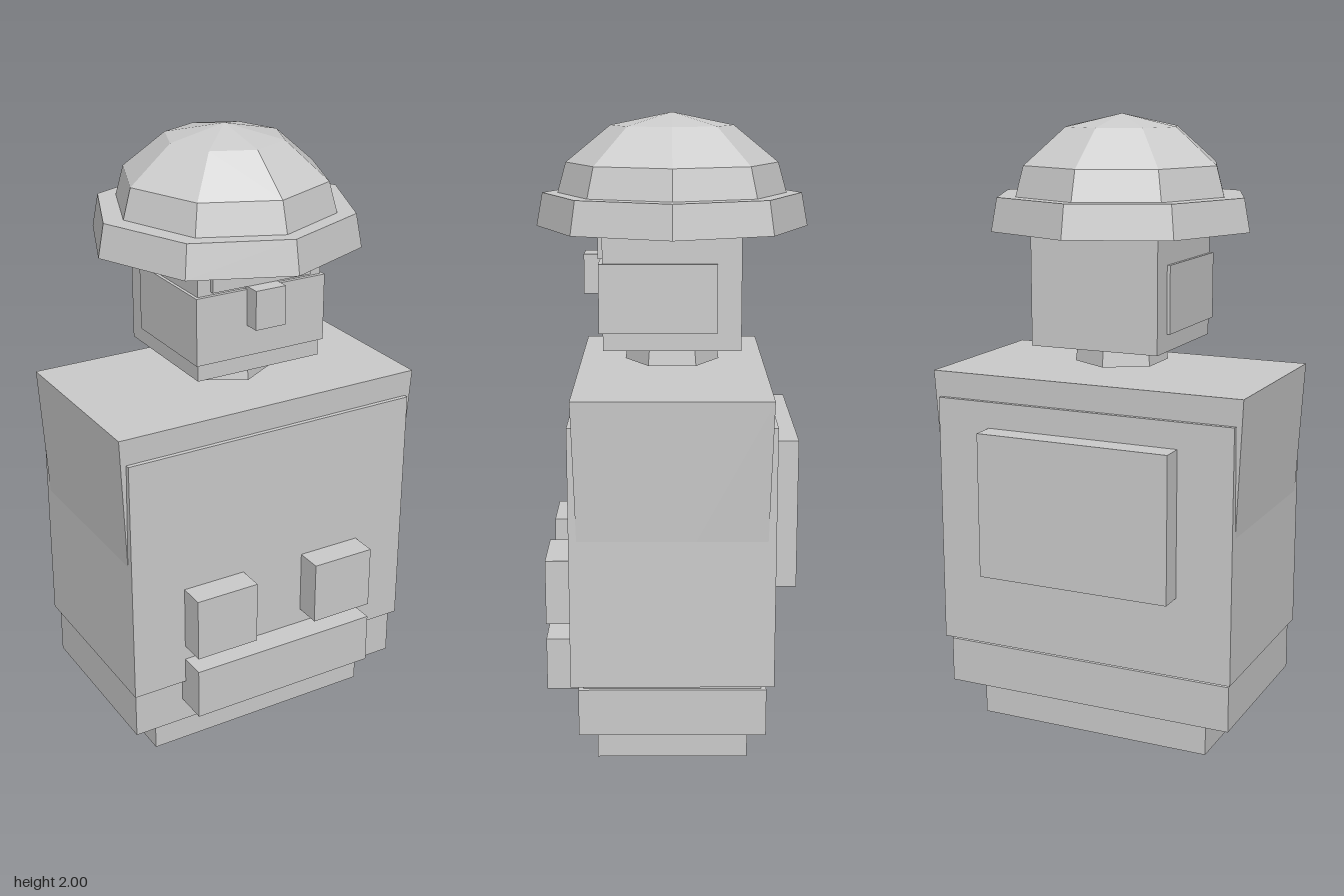
import * as THREE from 'three';

const material = new THREE.MeshStandardMaterial({ color: 0xcccccc, flatShading: true });

export function createModel() {
  const model = new THREE.Group();

  const add = (name, geometry) => {
    const mesh = new THREE.Mesh(geometry, material);
    mesh.name = name;
    model.add(mesh);
    return mesh;
  };

  // Box given by its limits on each axis
  const box = (name, [x0, x1], [y0, y1], [z0, z1]) => {
    const mesh = add(name, new THREE.BoxGeometry(x1 - x0, y1 - y0, z1 - z0));
    mesh.position.set((x0 + x1) / 2, (y0 + y1) / 2, (z0 + z1) / 2);
    return mesh;
  };

  // Feet and belt
  box('base', [-0.4, 0.4], [0, 0.13], [-0.237, 0.237]);
  box('belt', [-0.495, 0.495], [0.12, 0.27], [-0.29, 0.29]);

  // Trunk, wider towards the shoulders
  const trunk = new THREE.BoxGeometry(1, 1.08, 1);
  const p = trunk.attributes.position;
  for (let i = 0; i < p.count; i++) {
    const top = p.getY(i) > 0;
    p.setX(i, p.getX(i) * (top ? 1.06 : 0.946));
    p.setZ(i, p.getZ(i) * (top ? 0.602 : 0.54));
  }
  trunk.computeVertexNormals();
  add('trunk', trunk).position.y = 0.65;

  // Jacket around the trunk, with its pockets, lower pouch and backpack
  box('jacket', [-0.507, 0.507], [0.285, 1.105], [-0.313, 0.313]);
  for (const side of [-1, 1]) {
    const edges = [side * 0.11, side * 0.325].sort((a, b) => a - b);
    box(side > 0 ? 'leftPocket' : 'rightPocket', edges, [0.42, 0.63], [0.28, 0.4]);
  }
  box('lowerPouch', [-0.325, 0.325], [0.2, 0.37], [0.26, 0.4]);
  box('backpack', [-0.325, 0.325], [0.545, 1.02], [-0.39, -0.29]);

  // Neck
  add('neck', new THREE.CylinderGeometry(0.139, 0.151, 0.085, 6)).position.y = 1.2575;

  // Head and face
  box('head', [-0.216, 0.216], [1.28, 1.7], [-0.215, 0.215]);
  box('faceBand', [-0.226, 0.226], [1.335, 1.55], [-0.14, 0.227]);
  box('brow', [-0.172, 0.172], [1.56, 1.625], [0.19, 0.23]);
  box('nose', [-0.052, 0.052], [1.435, 1.56], [0.2, 0.28]);

  // Eight-sided hat: brim and faceted dome, slightly longer front to back
  add('hatBrim', new THREE.CylinderGeometry(0.412, 0.432, 0.105, 8)).position.y = 1.6975;
  const profile = [[0, 1.72], [0.348, 1.72], [0.346, 1.75], [0.32, 1.845], [0.185, 1.96], [0, 2]];
  const dome = add('hatDome', new THREE.LatheGeometry(profile.map(([r, y]) => new THREE.Vector2(r, y)), 8));
  dome.scale.z = 1.05;

  return model;
}
